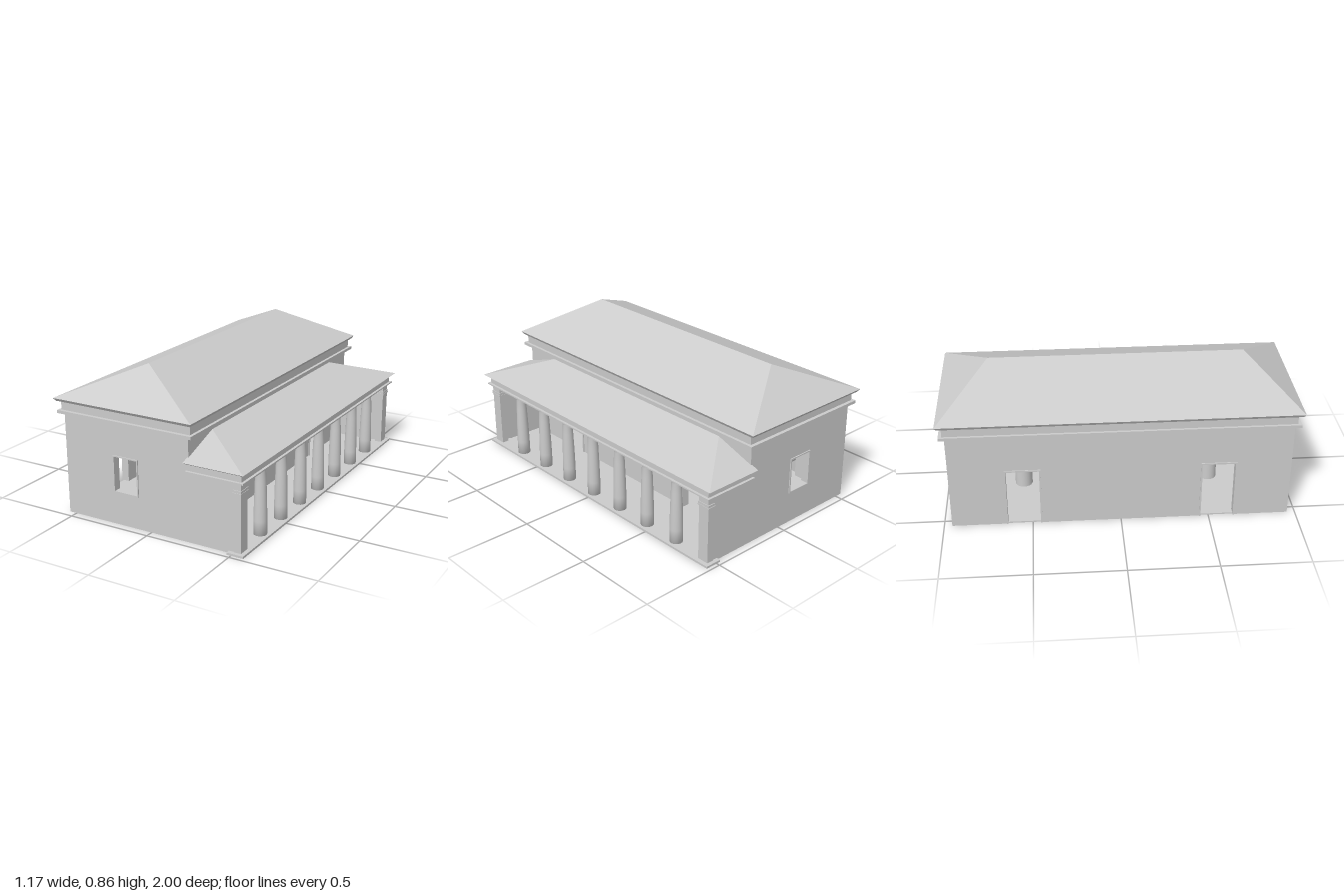
import * as THREE from 'three';
import { ConvexGeometry } from 'three/addons/geometries/ConvexGeometry.js';

const mat = new THREE.MeshStandardMaterial({ color: 0xcccccc, side: THREE.DoubleSide });

export function createModel() {
  const model = new THREE.Group();

  const add = (name, geo, x = 0, y = 0, z = 0) => {
    const m = new THREE.Mesh(geo, mat);
    m.name = name;
    m.position.set(x, y, z);
    model.add(m);
    return m;
  };
  // Box given by its limits
  const box = (name, x0, x1, y0, y1, z0, z1) =>
    add(name, new THREE.BoxGeometry(x1 - x0, y1 - y0, z1 - z0), (x0 + x1) / 2, (y0 + y1) / 2, (z0 + z1) / 2);
  const hull = (name, pts) => add(name, new ConvexGeometry(pts.map((p) => new THREE.Vector3(...p))));
  const rect = (x0, x1, y, z) => [[x0, y, -z], [x1, y, -z], [x1, y, z], [x0, y, z]];
  const outline = (Type, x0, x1, y0, y1) => new Type([
    new THREE.Vector2(x0, y0), new THREE.Vector2(x1, y0), new THREE.Vector2(x1, y1), new THREE.Vector2(x0, y1)]);
  const extrude = (shape, depth) => new THREE.ExtrudeGeometry(shape, { depth, bevelEnabled: false });

  // Floor and the step under the colonnade
  box('floor', -0.54, 0.48, 0, 0.008, -0.945, 0.945);
  box('porchStep', 0.475, 0.572, 0, 0.012, -0.98, 0.98);

  // End walls: tall hall part plus lower porch part, with a framed window
  const t = 0.04;
  for (const s of [1, -1]) {
    const wall = new THREE.Shape([
      [-0.545, 0], [0.512, 0], [0.512, 0.405], [0.24, 0.405], [0.24, 0.59], [-0.545, 0.59],
    ].map((p) => new THREE.Vector2(...p)));
    wall.holes.push(outline(THREE.Path, -0.226, -0.082, 0.193, 0.39));
    add('endWall', extrude(wall, t), 0, 0, s > 0 ? 0.955 - t : -0.955);

    const frame = outline(THREE.Shape, -0.234, -0.074, 0.185, 0.397);
    frame.holes.push(outline(THREE.Path, -0.226, -0.082, 0.193, 0.39));
    add('windowFrame', extrude(frame, 0.01), 0, 0, s > 0 ? 0.951 : -0.961);
  }

  // Long walls with two doorways each, drawn in z-y and turned to face sideways
  const doors = [[-0.64, -0.455], [0.455, 0.64]];
  for (const [x, outer] of [[-0.545, -0.545], [0.2, 0.24]]) {
    const wall = new THREE.Shape();
    const pts = [[-0.92, 0], ...doors.flatMap(([a, b]) => [[a, 0], [a, 0.35], [b, 0.35], [b, 0]]), [0.92, 0], [0.92, 0.59], [-0.92, 0.59]];
    wall.setFromPoints(pts.map((p) => new THREE.Vector2(...p)));
    add('longWall', extrude(wall, t), x + t, 0, 0).rotation.y = -Math.PI / 2;
    wallTurnFix(model.children[model.children.length - 1]);

    // Door surrounds
    for (const [a, b] of doors) {
      const x0 = outer - 0.006, x1 = outer + 0.006;
      box('doorJamb', x0, x1, 0, 0.35, a - 0.009, a);
      box('doorJamb', x0, x1, 0, 0.35, b, b + 0.009);
      box('doorLintel', x0, x1, 0.35, 0.359, a - 0.009, b + 0.009);
    }
  }

  // Main entablature, cornice and hipped roof
  box('mainLedge', -0.572, 0.275, 0.583, 0.6, -0.985, 0.985);
  box('mainFrieze', -0.557, 0.258, 0.6, 0.655, -0.965, 0.965);
  hull('mainCornice', [...rect(-0.573, 0.273, 0.653, 0.988), ...rect(-0.583, 0.283, 0.67, 1)]);
  hull('mainRoof', [...rect(-0.583, 0.283, 0.67, 1), [-0.15, 0.855, -0.72], [-0.15, 0.855, 0.72]]);

  // Porch entablature, cornice and lean-to roof
  box('porchLedge', 0.232, 0.57, 0.398, 0.406, -0.98, 0.98);
  box('porchFrieze', 0.232, 0.555, 0.406, 0.452, -0.965, 0.965);
  hull('porchCornice', [...rect(0.232, 0.57, 0.45, 0.988), ...rect(0.232, 0.583, 0.458, 1)]);
  hull('porchRoof', [...rect(0.232, 0.583, 0.458, 1), [0.24, 0.553, -0.72], [0.24, 0.553, 0.72]]);

  // Square corner piers with stepped capitals
  for (const s of [1, -1]) {
    const c = s * 0.925;
    const tier = (name, w, d, y0, y1) => box(name, 0.528 - w, 0.528 + w, y0, y1, c - d, c + d);
    tier('pierShaft', 0.02, 0.034, 0.012, 0.4);
    tier('pierBand', 0.025, 0.041, 0.335, 0.342);
    tier('pierBand', 0.023, 0.038, 0.342, 0.356);
    tier('pierCapital', 0.023, 0.039, 0.385, 0.391);
    tier('pierCapital', 0.026, 0.043, 0.391, 0.399);
  }

  // Colonnade of seven swelling columns
  const columnProfile = [[0, 0], [0.037, 0], [0.037, 0.08], [0.035, 0.18], [0.031, 0.3], [0.028, 0.362],
    [0.033, 0.37], [0.034, 0.378], [0.03, 0.388], [0, 0.388]].map((p) => new THREE.Vector2(...p));
  const columnGeo = new THREE.LatheGeometry(columnProfile, 20);
  for (let i = -3; i <= 3; i++) add('porchColumn', columnGeo, 0.518, 0.012, 0.004 + i * 0.232);

  // Four inner columns along the ridge
  const innerGeo = new THREE.CylinderGeometry(0.046, 0.051, 0.585, 20);
  for (const z of [-0.552, -0.184, 0.184, 0.552]) add('innerColumn', innerGeo, -0.15, 0.2965, z);

  return model;
}

// After the quarter turn the depth runs toward -x and local x becomes +z
function wallTurnFix(mesh) {
  mesh.updateMatrix();
}
